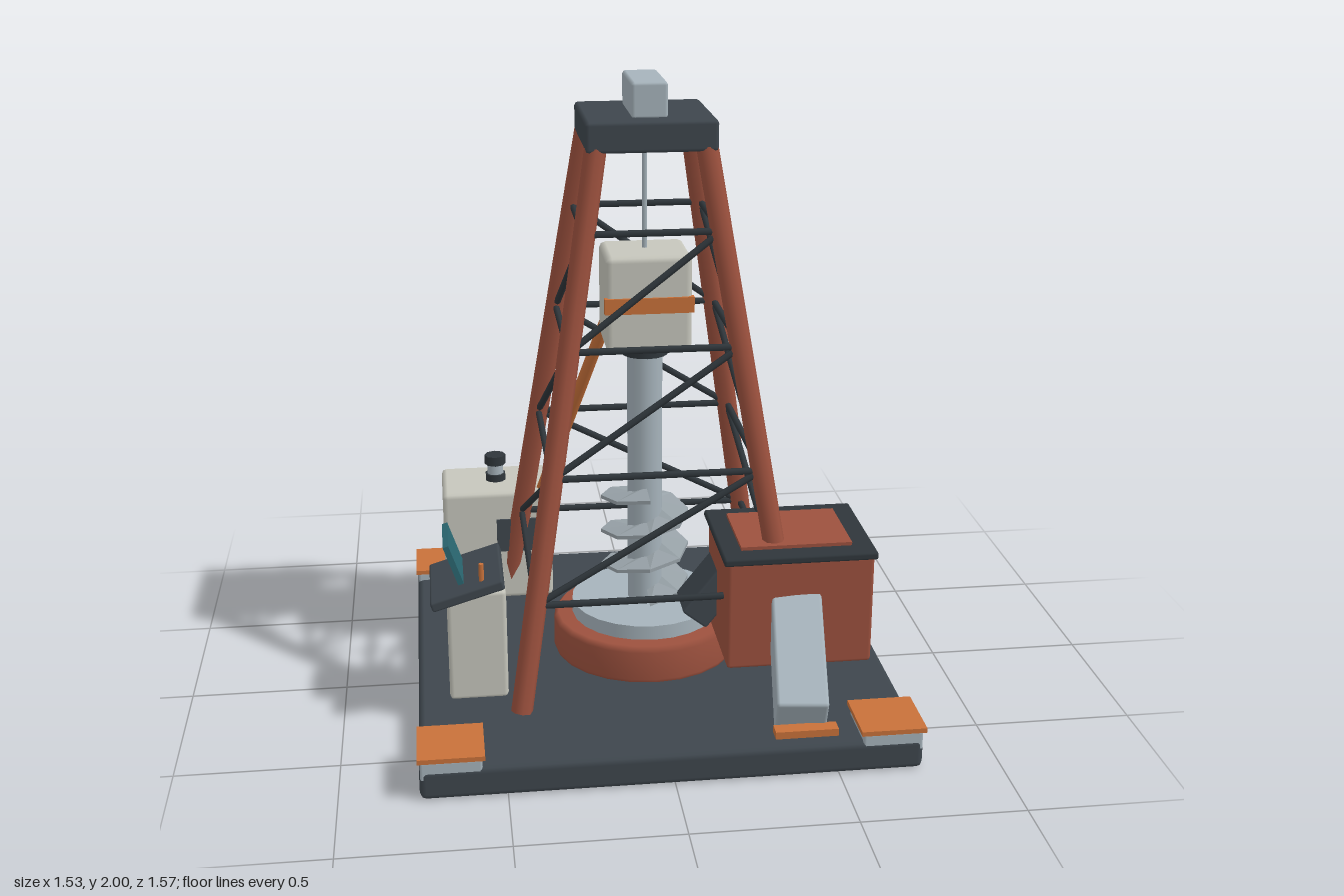
import * as THREE from 'three';
import { RoundedBoxGeometry } from 'three/addons/geometries/RoundedBoxGeometry.js';

const Z0 = -0.025; // centre line of base and tower

const mat = (color, extra = {}) => {
  const m = new THREE.MeshStandardMaterial(extra);
  m.color.set(color);
  return m;
};
const dark = mat(0x3e464d), black = mat(0x2f363b), rust = mat(0x9c513e), orange = mat(0xc8713a);
const beige = mat(0xc6c6bc), steel = mat(0xa6b3bb), teal = mat(0x2a6670);
const flight = mat(0x98a2a8, { flatShading: true, side: THREE.DoubleSide });

const V = (x, y, z) => new THREE.Vector3(x, y, z);

export function createModel() {
  const model = new THREE.Group();
  model.name = 'drillingRig';

  const add = (name, geometry, material, x = 0, y = 0, z = 0) => {
    const mesh = new THREE.Mesh(geometry, material);
    mesh.name = name;
    mesh.position.set(x, y, z);
    model.add(mesh);
    return mesh;
  };
  // Box from its min/max extents, chamfered when r > 0
  const box = (name, material, [x0, x1], [y0, y1], [z0, z1], r = 0) => {
    const s = [x1 - x0, y1 - y0, z1 - z0];
    const g = r ? new RoundedBoxGeometry(...s, 1, r) : new THREE.BoxGeometry(...s);
    return add(name, g, material, (x0 + x1) / 2, (y0 + y1) / 2, (z0 + z1) / 2);
  };
  const cylinder = (name, material, r, y0, y1, x = 0, z = Z0, sides = 16) =>
    add(name, new THREE.CylinderGeometry(r, r, y1 - y0, sides), material, x, (y0 + y1) / 2, z);
  // Round bar between two points
  const strut = (name, material, a, b, r, sides = 8) => {
    const mesh = add(name, new THREE.CylinderGeometry(r, r, a.distanceTo(b), sides), material);
    mesh.position.copy(a).lerp(b, 0.5);
    mesh.quaternion.setFromUnitVectors(V(0, 1, 0), b.clone().sub(a).normalize());
    return mesh;
  };

  // Base with four corner pads
  box('base', dark, [-0.76, 0.76], [0, 0.1], [Z0 - 0.76, Z0 + 0.76], 0.02);
  for (const sx of [-1, 1]) for (const sz of [-1, 1]) {
    const x = sx * 0.665, z = Z0 + sz * 0.665;
    box('cornerBlock', steel, [x - 0.092, x + 0.092], [0.06, 0.126], [z - 0.092, z + 0.092], 0.008);
    box('cornerPad', orange, [x - 0.1, x + 0.1], [0.125, 0.14], [z - 0.1, z + 0.1]);
  }

  // Tower legs; corners run front left, front right, back right, back left on screen
  const corners = [[-1, 1], [1, 1], [1, -1], [-1, -1]];
  const legPoint = (k, y) => {
    const d = 0.44 - 0.27 * (y - 0.1) / 1.7;
    const [sx, sz] = corners[k % 4];
    return V(sx * d, y, Z0 + sz * d);
  };
  const levels = [0.435, 0.825, 1.21, 1.56];
  for (let k = 0; k < 4; k++) {
    strut('towerLeg', rust, legPoint(k, 0.1), legPoint(k, 1.81), 0.034);
    levels.forEach((y, i) => {
      strut('crossBar', black, legPoint(k, y), legPoint(k + 1, y), 0.011, 6);
      if (i < levels.length - 1)
        strut('diagonalBrace', black, legPoint(k, y), legPoint(k + 1, levels[i + 1]), 0.011, 6);
    });
  }

  // Crown and hoist
  box('crown', dark, [-0.2, 0.2], [1.8, 1.895], [Z0 - 0.2, Z0 + 0.2], 0.012);
  box('crownBlock', steel, [-0.055, 0.055], [1.89, 2], [Z0 - 0.133, Z0 + 0.133], 0.01);
  cylinder('hoistCable', steel, 0.008, 1.45, 1.81, 0, Z0, 8);

  // Drive unit, drill string
  box('driveHead', beige, [-0.135, 0.135], [1.155, 1.465], [-0.138, 0.1], 0.02);
  box('driveStripe', orange, [-0.14, 0.14], [1.285, 1.335], [0.085, 0.108]);
  cylinder('driveCollar', black, 0.075, 1.12, 1.16);
  cylinder('drillPipe', steel, 0.057, 0.25, 1.125);

  // Auger: helical flight, thin at its outer edge
  const turns = 3, steps = turns * 8, pos = [], idx = [];
  for (let i = 0; i <= steps; i++) {
    const a = i / 8 * Math.PI * 2, y = 0.3 + 0.36 * i / steps;
    for (const [r, dy] of [[0.045, 0.014], [0.145, 0.006], [0.145, -0.006], [0.045, -0.014]])
      pos.push(r * Math.sin(a), y + dy, r * Math.cos(a));
    if (i < steps) for (let j = 0; j < 3; j++) {
      const p = i * 4 + j;
      idx.push(p, p + 1, p + 4, p + 1, p + 5, p + 4);
    }
  }
  const auger = new THREE.BufferGeometry();
  auger.setAttribute('position', new THREE.Float32BufferAttribute(pos, 3));
  auger.setIndex(idx);
  auger.computeVertexNormals();
  add('augerFlight', auger, flight, 0, 0, Z0);

  // Rotary table
  const profile = [[0, 0.09], [0.3, 0.09], [0.305, 0.11], [0.305, 0.205], [0.29, 0.222], [0, 0.222]];
  add('tableBase', new THREE.LatheGeometry(profile.map(p => new THREE.Vector2(...p)), 24), rust, 0, 0, Z0);
  cylinder('tableRing', steel, 0.243, 0.22, 0.27, 0, Z0, 24);

  // Spoil hopper with rim, feed and discharge chute
  box('hopper', rust, [0.2, 0.66], [0.22, 0.58], [0.06, 0.445], 0.012);
  box('hopperRim', black, [0.187, 0.67], [0.57, 0.595], [0.04, 0.452], 0.008);
  box('hopperFill', rust, [0.25, 0.6], [0.58, 0.606], [0.11, 0.385]);
  const feed = box('feedChute', dark, [0.09, 0.29], [0.32, 0.42], [0.08, 0.24], 0.01);
  feed.rotation.z = 0.9;
  const chute = add('dischargeChute', new RoundedBoxGeometry(0.155, 0.165, 0.4, 1, 0.01), steel, 0.4, 0.295, 0.565);
  chute.rotation.set(0.54, -0.13, 0, 'YXZ');
  box('chuteLip', orange, [0.293, 0.483], [0.155, 0.178], [0.73, 0.775]);

  // Power cabinet with vent panel and exhaust
  box('powerCabinet', beige, [-0.66, -0.28], [0.095, 0.5], [-0.69, -0.42], 0.018);
  box('ventPanel', dark, [-0.475, -0.335], [0.28, 0.4], [-0.43, -0.412]);
  cylinder('exhaustFoot', black, 0.036, 0.495, 0.525, -0.47, -0.555, 10);
  cylinder('exhaustPipe', steel, 0.029, 0.52, 0.57, -0.47, -0.555, 10);
  cylinder('exhaustCap', black, 0.037, 0.56, 0.593, -0.47, -0.555, 8);

  // Feed hose from the cabinet to the drive unit
  strut('feedHose', orange, V(-0.32, 0.46, -0.475), V(-0.11, 1.22, -0.11), 0.021);

  // Operator console
  box('consolePedestal', beige, [-0.66, -0.475], [0.095, 0.465], [0.1, 0.31], 0.014);
  const desk = add('consoleDesk', new RoundedBoxGeometry(0.235, 0.034, 0.3, 1, 0.008), dark, -0.595, 0.473, 0.205);
  desk.rotation.z = 0.29;
  const screen = add('consoleScreen', new THREE.BoxGeometry(0.018, 0.135, 0.19), teal, -0.635, 0.555, 0.205);
  screen.rotation.z = 0.33;
  cylinder('controlLever', orange, 0.008, 0.48, 0.56, -0.55, 0.305, 8);

  return model;
}
